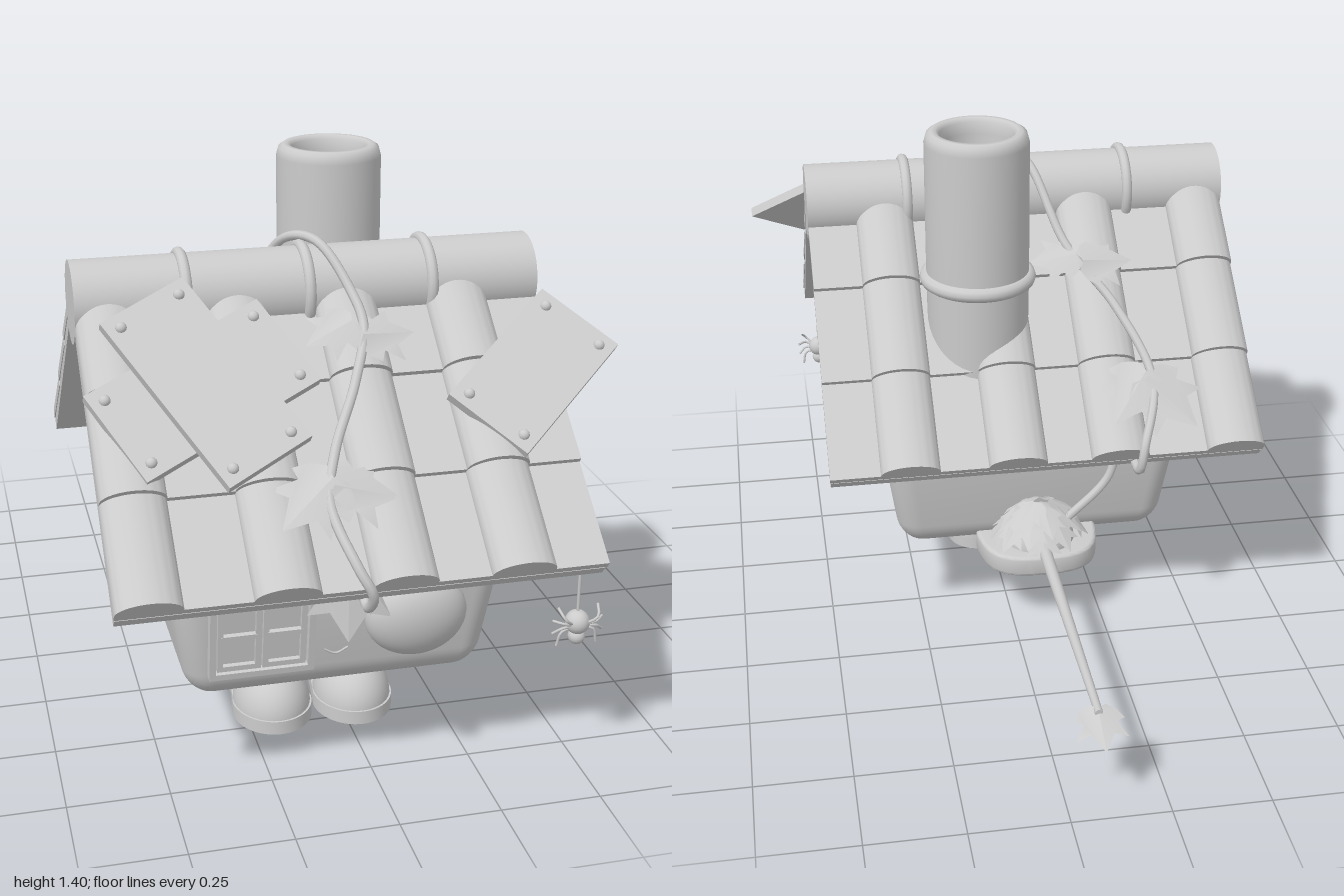
import * as THREE from 'three';
import { toCreasedNormals } from 'three/addons/utils/BufferGeometryUtils.js';
import { RoundedBoxGeometry } from 'three/addons/geometries/RoundedBoxGeometry.js';

const grey = new THREE.MeshStandardMaterial({ color: 0xcccccc, side: THREE.DoubleSide });
const CX = -0.07, CZ = 0.32, APEX = 1.1, PITCH = 0.733; // house centre and roof
const S = Math.sin(PITCH), C = Math.cos(PITCH);
const V = (x, y, z) => new THREE.Vector3(x, y, z);

function add(parent, name, geo, x = 0, y = 0, z = 0) {
  const m = new THREE.Mesh(geo, grey);
  m.name = name;
  m.position.set(x, y, z);
  parent.add(m);
  return m;
}
function sub(parent, name, x = 0, y = 0, z = 0) {
  const g = new THREE.Group();
  g.name = name;
  g.position.set(x, y, z);
  parent.add(g);
  return g;
}
const box = (w, h, d) => new THREE.BoxGeometry(w, h, d);
const tube = (pts, r, n = 40) => new THREE.TubeGeometry(new THREE.CatmullRomCurve3(pts), n, r, 8);
const extrude = (shape, depth, bevel = 0) => toCreasedNormals(new THREE.ExtrudeGeometry(shape, {
  depth, curveSegments: 14, bevelEnabled: bevel > 0, bevelSize: bevel, bevelThickness: bevel, bevelSegments: 3 }), 0.6);

// flat timber between two points of a wall plane
function bar(parent, name, x1, y1, x2, y2, w, d, z) {
  const m = add(parent, name, box(Math.hypot(x2 - x1, y2 - y1), w, d), (x1 + x2) / 2, (y1 + y2) / 2, z);
  m.rotation.z = Math.atan2(y2 - y1, x2 - x1);
}
// point on a roof slope: x, height over the underside, distance down, side
const onRoof = (x, h, v, s) => V(x, APEX - v * S + h * C, CZ + s * (v * C + h * S));

// ivy leaf folded along its midrib, stem at origin, pointing to +z
const half = [[0, 0], [0.2, -0.12], [0.42, 0], [0.56, 0.22], [0.36, 0.32], [0.58, 0.68], [0.26, 0.62], [0, 1.05]];
const leafShapes = [1, -1].map(s => new THREE.Shape(half.map(([x, y]) => new THREE.Vector2(s * x, y))));
const leafGeo = new THREE.ShapeGeometry(leafShapes).rotateX(Math.PI / 2);
{
  const p = leafGeo.attributes.position;
  for (let i = 0; i < p.count; i++) p.setY(i, -0.25 * Math.abs(p.getX(i)) - 0.22 * p.getZ(i) ** 2);
  leafGeo.computeVertexNormals();
}
function leaf(parent, x, y, z, size, yaw, pitch) {
  const m = add(parent, 'ivyLeaf', leafGeo, x, y, z);
  m.scale.setScalar(size);
  m.rotation.set(pitch, yaw, 0, 'YXZ');
}

function archShape(w, h) {
  const s = new THREE.Shape();
  s.moveTo(-w, -h).lineTo(w, -h).lineTo(w, h - w);
  s.absellipse(0, h - w, w, w, 0, Math.PI, false);
  return s.lineTo(-w, -h);
}
function rectShape(w, h) {
  return new THREE.Shape().moveTo(-w, -h).lineTo(w, -h).lineTo(w, h).lineTo(-w, h).lineTo(-w, -h);
}
function frame(parent, name, make, w, h, t, depth, x, y) {
  const s = make(w, h);
  s.holes.push(make(w - t, h - t));
  return add(parent, name, extrude(s, depth), x, y, -0.005);
}

function buildBody(root) {
  const geo = new RoundedBoxGeometry(0.86, 0.5, 0.86, 6, 0.075).translate(0, 0.45, 0);
  const p = geo.attributes.position;
  for (let i = 0; i < p.count; i++) {
    const k = 0.85 + 0.15 * Math.min(1, (p.getY(i) - 0.2) / 0.4);
    p.setX(i, p.getX(i) * k);
    p.setZ(i, p.getZ(i) * k);
  }
  add(root, 'houseBody', toCreasedNormals(geo, 0.6), CX, 0, CZ);
  const gable = new THREE.Shape([[-0.42, 0.6], [0.42, 0.6], [0.42, 0.72], [0, 1.1], [-0.42, 0.72]].map(a => new THREE.Vector2(...a)));
  add(root, 'gableWalls', extrude(gable, 0.84).translate(0, 0, -0.42).rotateY(Math.PI / 2), CX, 0, CZ);

  // wall plane leaning outwards, local z points out of the wall
  const wall = (name, yaw) => {
    const turn = sub(root, name, CX, 0.4, CZ);
    turn.rotation.y = yaw;
    const g = sub(turn, name + 'Plane', 0, 0, 0.398);
    g.rotation.x = 0.16;
    return g;
  };
  // front: double window, round bay, small smile
  const front = wall('frontWall', 0);
  frame(front, 'windowFrame', rectShape, 0.128, 0.114, 0.016, 0.03, -0.197, -0.007);
  add(front, 'windowPane', box(0.24, 0.21, 0.01), -0.197, -0.007, 0);
  for (const s of [-1, 1]) {
    const x = -0.197 + s * 0.055;
    frame(front, 'windowSash', rectShape, 0.053, 0.096, 0.014, 0.022, x, -0.007);
    add(front, 'windowBar', box(0.09, 0.012, 0.02), x, -0.007, 0.008);
  }
  add(front, 'bayWindow', new THREE.SphereGeometry(1, 40, 24), 0.185, -0.005, 0).scale.set(0.127, 0.112, 0.07);
  add(front, 'smile', tube([V(-0.04, -0.083, 0), V(-0.01, -0.098, 0), V(0.02, -0.083, 0)], 0.003, 10));

  for (const s of [-1, 1]) {
    const side = wall('sideWall', s * Math.PI / 2);
    frame(side, 'archedFrame', archShape, 0.098, 0.108, 0.02, 0.03, 0, 0.007);
    add(side, 'archedPane', extrude(archShape(0.09, 0.1), 0.006), 0, 0.007, 0);
    bar(side, 'archedBar', 0, -0.09, 0, 0.1, 0.014, 0.02, 0.008);
    bar(side, 'archedBar', -0.08, 0.0, 0.08, 0.0, 0.014, 0.02, 0.008);
    // half-timbering of the gable
    const g = sub(root, 'gableTimbers', CX, 0, CZ);
    g.rotation.y = s * Math.PI / 2;
    bar(g, 'sillBeam', -0.43, 0.6, 0.43, 0.6, 0.04, 0.06, 0.43);
    bar(g, 'kingPost', 0, 0.61, 0, 1.08, 0.065, 0.03, 0.425);
    for (const k of [-1, 1]) {
      bar(g, 'rafter', k * 0.41, 0.71, 0, 1.075, 0.04, 0.03, 0.42);
      bar(g, 'sidePost', k * 0.27, 0.61, k * 0.27, 0.83, 0.03, 0.026, 0.423);
      bar(g, 'brace', k * 0.26, 0.62, k * 0.02, 0.82, 0.035, 0.024, 0.421);
      bar(g, 'outerBrace', k * 0.28, 0.8, k * 0.4, 0.63, 0.03, 0.024, 0.421);
    }
  }
}

function buildRoof(root) {
  for (const s of [1, -1]) {
    const turn = sub(root, s > 0 ? 'frontRoof' : 'backRoof', CX, APEX, CZ);
    turn.rotation.y = s > 0 ? 0 : Math.PI;
    const slope = sub(turn, 'slope');
    slope.rotation.x = PITCH;
    add(slope, 'roofBoard', box(1.14, 0.03, 0.81), 0, 0.015, 0.405);
    // one course: flat tiles alternating with round ones
    const course = new THREE.Shape().moveTo(-0.572, 0).lineTo(-0.572, 0.02);
    const centres = [-0.495, -0.185, 0.085, 0.365].map(x => x * s).sort((a, b) => a - b);
    for (const x of centres) {
      course.lineTo(x - 0.077, 0.02);
      course.absellipse(x, 0.02, 0.077, 0.05, Math.PI, 0, true);
    }
    course.lineTo(0.572, 0.02).lineTo(0.572, 0);
    const geo = extrude(course, 0.275);
    for (let i = 0; i < 3; i++) add(slope, 'tileCourse', geo, 0, 0.02, i * 0.268).rotation.x = -0.055;

    if (s < 0) continue;
    // repair planks: centre x, distance down, height, length, width, direction
    for (const [x, v, h, l, w, dx, dz] of [
      [-0.374, 0.295, 0.128, 0.5, 0.235, 0.235, 0.441],
      [-0.375, 0.3, 0.098, 0.49, 0.255, 0.44, -0.224],
      [0.424, 0.322, 0.098, 0.4, 0.23, 0.3, -0.269]]) {
      const g = sub(slope, 'repairPlank', x - CX, h, v);
      g.rotation.y = Math.atan2(-dz, dx);
      add(g, 'plank', box(l, 0.026, w));
      for (const a of [-1, 1]) for (const b of [-1, 1])
        add(g, 'nail', new THREE.SphereGeometry(0.014, 12, 8), a * (l / 2 - 0.035), 0.012, b * (w / 2 - 0.035));
    }
  }
  add(root, 'ridgeTile', new THREE.CylinderGeometry(0.102, 0.102, 1.145, 32).rotateZ(Math.PI / 2), CX, 1.115, CZ);
  for (const x of [-0.375, -0.075, 0.232])
    add(root, 'ridgeBand', new THREE.TorusGeometry(0.103, 0.014, 10, 32).rotateY(Math.PI / 2), x, 1.115, CZ);
  const prof = [[0.132, 0.68], [0.136, 1.0], [0.136, 1.37], [0.13, 1.392], [0.118, 1.4], [0.105, 1.4], [0.096, 1.39], [0.09, 1.36], [0.085, 1.15], [0, 1.13]];
  add(root, 'chimney', new THREE.LatheGeometry(prof.map(a => new THREE.Vector2(...a)), 40), 0.072, 0, 0.01);
  add(root, 'chimneyRing', new THREE.TorusGeometry(0.134, 0.02, 10, 40).rotateX(Math.PI / 2), 0.072, 1.0, 0.01);
}

function buildLegs(root) {
  for (const x of [-0.18, 0.035]) {
    const g = sub(root, 'leg', x, 0, 0);
    add(g, 'shin', new THREE.CylinderGeometry(0.08, 0.085, 0.24, 28), 0, 0.14, 0.322);
    const toe = add(g, 'bootToe', new THREE.SphereGeometry(1, 32, 16, 0, Math.PI * 2, 0, Math.PI / 2), 0, 0.03, 0.425);
    toe.scale.set(0.1, 0.118, 0.122);
    const sole = new THREE.Shape().moveTo(-0.08, -0.33).absarc(0, -0.325, 0.088, Math.PI, 0, true);
    sole.absellipse(0, -0.43, 0.103, 0.122, 0, -Math.PI, true);
    add(g, 'bootSole', extrude(sole, 0.036).rotateX(-Math.PI / 2));
  }
}

function buildVine(root) {
  const path = [V(-0.15, 0.3, -0.12), V(-0.27, 0.42, -0.11), V(-0.3, 0.58, -0.13), V(-0.3, 0.57, -0.26), V(-0.3, 0.575, -0.35), V(-0.31, 0.65, -0.355),
    ...[[-0.36, 0.62], [-0.29, 0.4], [-0.18, 0.21]].map(([x, v]) => onRoof(x, 0.105, v, -1)), V(-0.1, 1.222, 0.25), V(-0.04, 1.232, 0.34),
    ...[[0.02, 0.08], [0.03, 0.17], [-0.02, 0.32], [-0.1, 0.49], [-0.135, 0.62], [-0.1, 0.78]].map(([x, v]) => onRoof(x, 0.11, v, 1)),
    V(-0.07, 0.6, 0.99), V(-0.07, 0.545, 0.94), V(-0.07, 0.59, 0.85), V(-0.07, 0.58, 0.77), V(-0.075, 0.54, 0.74)];
  add(root, 'vine', tube(path, 0.012, 160));
  // leaves: x, distance down, side, size, yaw
  for (const [x, v, s, size, yaw] of [[0.02, 0.2, 1, 0.13, 1.7], [0.0, 0.16, 1, 0.12, -1.2], [-0.12, 0.56, 1, 0.16, -0.9], [-0.12, 0.58, 1, 0.15, 1.4],
    [-0.34, 0.62, -1, 0.17, -2.4], [-0.34, 0.6, -1, 0.16, 2.5], [-0.22, 0.27, -1, 0.13, -1.5], [-0.2, 0.25, -1, 0.12, 1.6]]) {
    const p = onRoof(x, 0.125, v, s);
    const g = sub(root, 'vineLeaf', p.x, p.y, p.z);
    g.rotation.x = s * PITCH * 0.85;
    leaf(g, 0, 0, 0, size, yaw, 0);
  }
  leaf(root, -0.075, 0.57, 0.8, 0.17, -0.25, 1.3);
  leaf(root, -0.05, 0.56, 0.79, 0.12, 1.1, 0.7);
}

function buildPan(root) {
  const g = sub(root, 'leafPan', -0.08, 0.19, -0.08);
  const s = new THREE.Shape().moveTo(0, -0.12);
  s.bezierCurveTo(0.17, -0.12, 0.17, -0.06, 0.15, 0.03).bezierCurveTo(0.13, 0.12, 0.06, 0.12, 0, 0.12);
  s.bezierCurveTo(-0.06, 0.12, -0.13, 0.12, -0.15, 0.03).bezierCurveTo(-0.17, -0.06, -0.17, -0.12, 0, -0.12);
  add(g, 'panDish', extrude(s, 0.04, 0.01).rotateX(-Math.PI / 2));
  add(g, 'leafMound', new THREE.SphereGeometry(0.1, 20, 10, 0, Math.PI * 2, 0, Math.PI / 2), 0, 0.045, -0.01);
  for (let i = 0; i < 20; i++) {
    const a = i * 2.4, r = 0.022 * Math.sqrt(i);
    leaf(g, Math.sin(a) * r, 0.06 + 0.11 * Math.cos(r * 12), Math.cos(a) * r - 0.01, 0.085, a, 0.15 + r * 6);
  }
  add(g, 'handle', new THREE.CylinderGeometry(0.018, 0.01, 0.75, 14).rotateX(Math.PI / 2), 0, 0.06, -0.46);
  leaf(g, 0, 0.066, -0.82, 0.11, Math.PI, 0.2);
}

function buildSpider(root) {
  const g = sub(root, 'spider', 0.467, 0.41, 0.875);
  add(g, 'thread', new THREE.CylinderGeometry(0.004, 0.004, 0.17, 6), 0, 0.1, 0);
  add(g, 'spiderBody', new THREE.SphereGeometry(0.03, 18, 12));
  add(g, 'spiderHead', new THREE.SphereGeometry(0.021, 16, 10), 0, -0.037, 0);
  for (const s of [-1, 1]) for (let i = 0; i < 4; i++) {
    const k = (i - 1.5) / 1.5;
    add(g, 'spiderLeg', tube([V(0, -0.012, 0), V(s * 0.04, k * 0.022, 0.016 + k * 0.012), V(s * (0.068 - 0.018 * Math.abs(k)), k * 0.05 - 0.008, 0)], 0.0035, 8));
  }
}

export function createModel() {
  const root = new THREE.Group();
  root.name = 'walkingCottage';
  for (const build of [buildBody, buildRoof, buildLegs, buildVine, buildPan, buildSpider]) build(root);
  return root;
}
